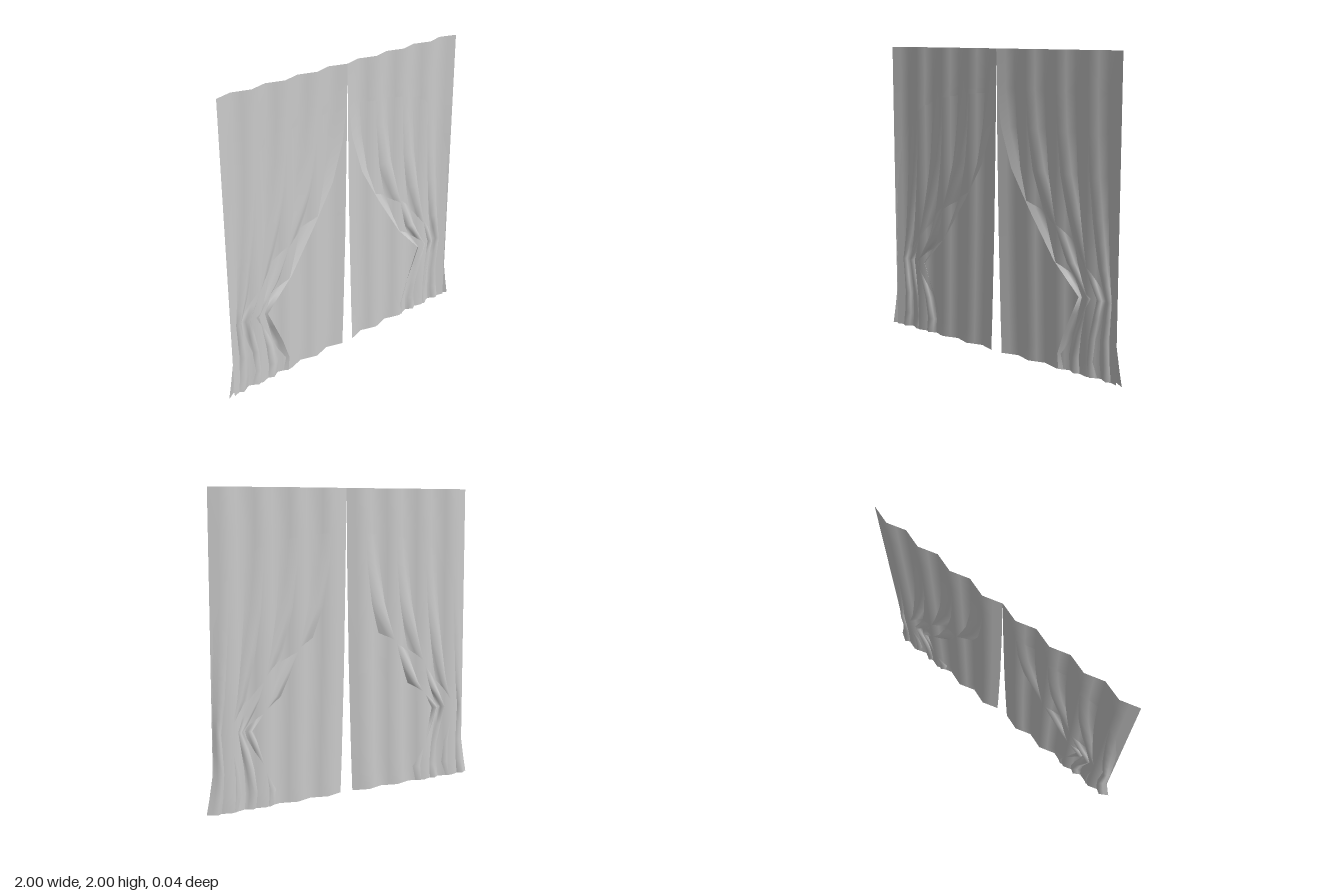
import * as THREE from 'three';

const WAVES = 4, COLS = WAVES * 4, DEPTH = 0.018;

// Interpolate x along an edge given as [y, x] points from top to bottom
function edgeX(points, y) {
  for (let i = 1; i < points.length; i++) {
    const [y0, x0] = points[i - 1], [y1, x1] = points[i];
    if (y >= y1) return x0 + (x1 - x0) * (y0 - y) / (y0 - y1);
  }
  return points[points.length - 1][1];
}

// Pleated cloth hung between an inner and an outer edge
function pleatedCloth(name, inner, outer, side, offset, material) {
  const heights = [2, 1.75, 1.51, 1.25, 1, 0.85, 0.7, 0.6, 0.5, 0.38, 0.25, 0.1, 0];
  const geometry = new THREE.PlaneGeometry(1, 1, COLS, heights.length - 1);
  const pos = geometry.attributes.position;
  heights.forEach((y, row) => {
    const a = edgeX(inner, y), b = edgeX(outer, y);
    for (let col = 0; col <= COLS; col++) {
      const t = col / COLS;
      const u = side > 0 ? t : 1 - t; // keeps the front facing +z on both sides
      const z = DEPTH * Math.cos(u * WAVES * Math.PI * 2) + offset;
      pos.setXYZ(row * (COLS + 1) + col, side * (a + (b - a) * u), y, z);
    }
  });
  geometry.computeVertexNormals();
  const mesh = new THREE.Mesh(geometry, material);
  mesh.name = name;
  return mesh;
}

export function createModel() {
  const group = new THREE.Group();
  group.name = 'curtains';
  const material = new THREE.MeshStandardMaterial({ color: 0xcccccc, side: THREE.DoubleSide });

  // Straight under-curtain, parting slightly towards the floor
  const sheerInner = [[2, 0], [1.51, 0.006], [0.85, 0.018], [0.25, 0.036], [0, 0.046]];
  const sheerOuter = [[2, 0.955], [0, 0.955]];
  // Drape gathered to the side at tie height, flaring out below
  const drapeInner = [[2, 0], [1.75, 0.006], [1.51, 0.04], [1.25, 0.125], [1, 0.275],
    [0.7, 0.475], [0.5, 0.67], [0.25, 0.56], [0.1, 0.51], [0, 0.52]];
  const drapeOuter = [[2, 0.955], [0.25, 0.955], [0.1, 0.98], [0, 1]];

  for (const side of [1, -1]) {
    const label = side > 0 ? 'left' : 'right';
    group.add(pleatedCloth(label + 'UnderCurtain', sheerInner, sheerOuter, side, -0.001, material));
    group.add(pleatedCloth(label + 'Drape', drapeInner, drapeOuter, side, 0.001, material));
  }
  return group;
}
